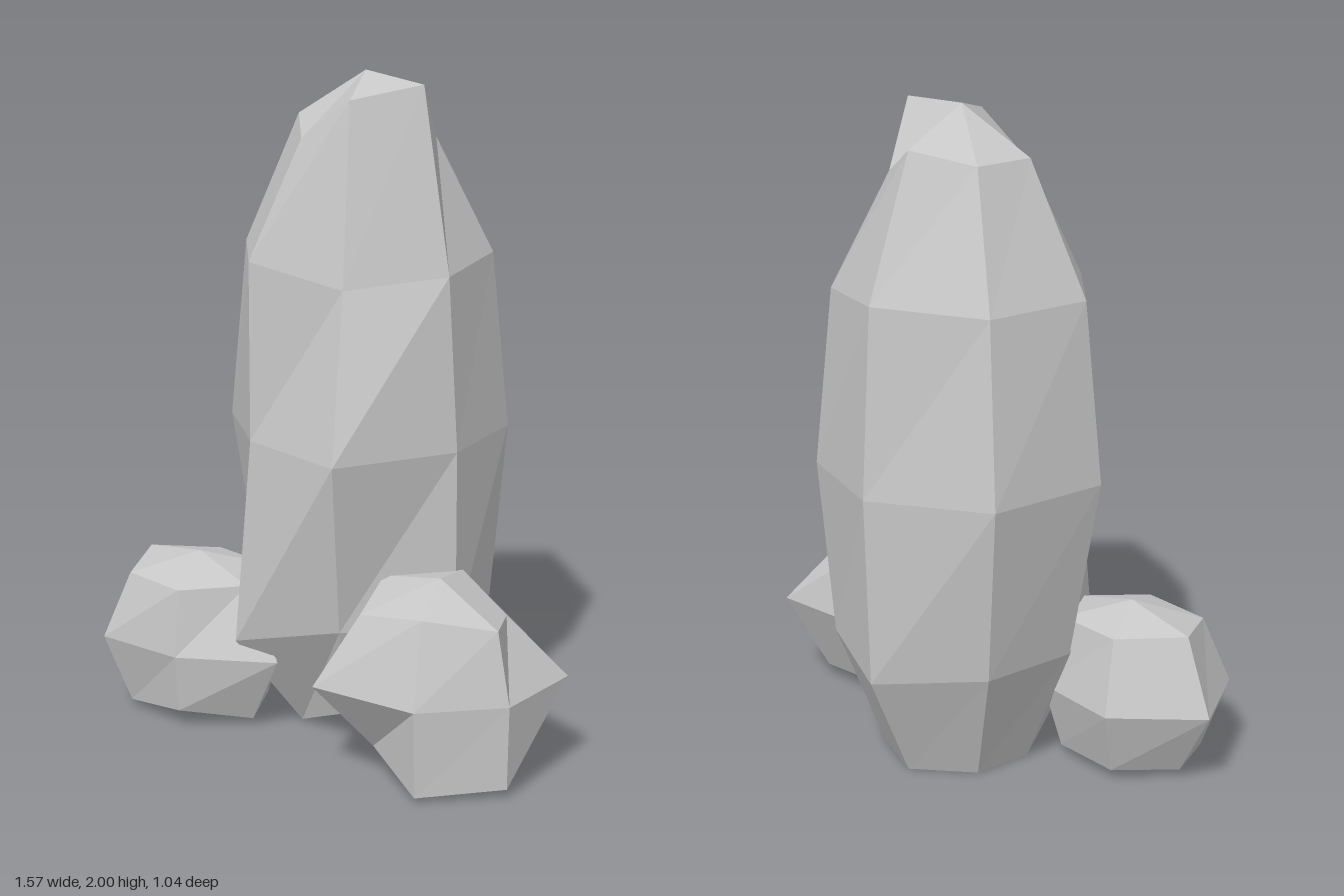
import * as THREE from 'three';

const stone = new THREE.MeshStandardMaterial({ color: 0xc8c8c8, flatShading: true });
stone.name = 'grey stone';

// A faceted boulder: rings of [radius, height] per corner, stretched along x, closed by a pole at each end.
function rock(name, cx, cz, stretch, top, rings) {
  const n = rings[0].length, pos = [];
  const ringPoints = rings.map(ring => ring.map(([r, y], k) => {
    const a = (k / n) * Math.PI * 2;
    return [cx + stretch * r * Math.cos(a), y, cz + r * Math.sin(a)];
  }));
  const tri = (a, b, c) => pos.push(...a, ...b, ...c);
  const last = ringPoints.length - 1;
  for (let k = 0; k < n; k++) {
    const m = (k + 1) % n;
    tri([cx, top, cz], ringPoints[0][m], ringPoints[0][k]);
    for (let i = 0; i < last; i++) {
      const a = ringPoints[i][k], b = ringPoints[i][m];
      const c = ringPoints[i + 1][m], d = ringPoints[i + 1][k];
      tri(a, b, c);
      tri(a, c, d);
    }
    tri([cx, 0, cz], ringPoints[last][k], ringPoints[last][m]);
  }
  const geo = new THREE.BufferGeometry();
  geo.setAttribute('position', new THREE.Float32BufferAttribute(pos, 3));
  geo.computeVertexNormals();
  const mesh = new THREE.Mesh(geo, stone);
  mesh.name = name;
  return mesh;
}

export function createModel() {
  const group = new THREE.Group();
  group.name = 'standingStones';

  // Tall seven-sided standing stone
  group.add(rock('tallStone', -0.06, -0.09, 1, 2, [
    [[0.26, 1.98], [0.245, 1.94], [0.215, 1.81], [0.22, 1.86], [0.22, 1.86], [0.235, 1.9], [0.21, 1.8]],
    [[0.375, 1.43], [0.353, 1.4], [0.39, 1.455], [0.4, 1.46], [0.39, 1.46], [0.41, 1.48], [0.384, 1.45]],
    [[0.415, 0.91], [0.515, 0.91], [0.39, 0.91], [0.455, 0.91], [0.465, 0.91], [0.445, 0.91], [0.435, 0.91]],
    [[0.415, 0.35], [0.41, 0.38], [0.445, 0.29], [0.36, 0.36], [0.38, 0.36], [0.42, 0.33], [0.385, 0.37]],
    [[0.21, 0.06], [0.3, 0.09], [0.22, 0], [0.22, 0], [0.23, 0], [0.255, 0], [0.235, 0]],
  ]));

  // Six-sided boulder on the +x side
  group.add(rock('leftBoulder', 0.485, 0.09, 1.12, 0.59, [
    [[0.22, 0.49], [0.2, 0.525], [0.228, 0.49], [0.223, 0.54], [0.25, 0.54], [0.19, 0.47]],
    [[0.265, 0.275], [0.278, 0.275], [0.364, 0.275], [0.39, 0.275], [0.31, 0.275], [0.37, 0.275]],
    [[0.259, 0.025], [0.266, 0.015], [0.19, 0.085], [0.228, 0.05], [0.2, 0.04], [0.24, 0.04]],
  ]));

  // Six-sided boulder on the -x side
  group.add(rock('rightBoulder', -0.43, 0.27, 1.17, 0.5, [
    [[0.2, 0.44], [0.208, 0.435], [0.208, 0.435], [0.218, 0.46], [0.196, 0.45], [0.2, 0.45]],
    [[0.325, 0.23], [0.237, 0.23], [0.29, 0.23], [0.304, 0.23], [0.271, 0.23], [0.255, 0.23]],
    [[0.222, 0.02], [0.21, 0.05], [0.21, 0.02], [0.197, 0.025], [0.2, 0.03], [0.2, 0.03]],
  ]));
  return group;
}
